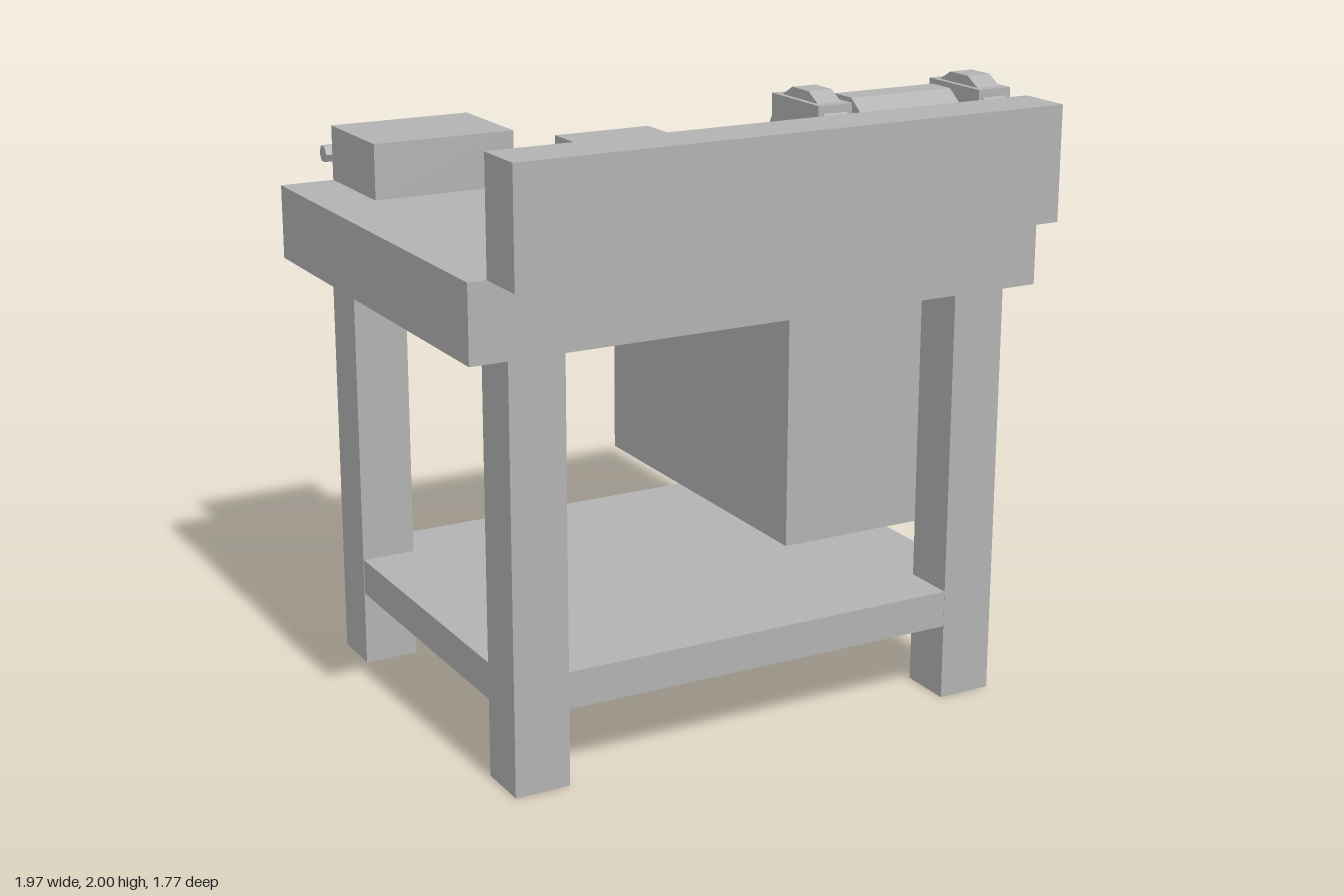
import * as THREE from 'three';

export function createModel() {
  const model = new THREE.Group();
  model.name = 'workbench';
  const grey = new THREE.MeshStandardMaterial({ color: 0xb2b2b2 });
  grey.name = 'plain grey';
  grey.flatShading = true;

  const add = (name, geometry, parent = model) => {
    const mesh = new THREE.Mesh(geometry, grey);
    mesh.name = name;
    parent.add(mesh);
    return mesh;
  };
  // Box given by its limits on each axis
  const box = (name, [x0, x1], [y0, y1], [z0, z1], parent) => {
    const g = new THREE.BoxGeometry(x1 - x0, y1 - y0, z1 - z0);
    g.translate((x0 + x1) / 2, (y0 + y1) / 2, (z0 + z1) / 2);
    return add(name, g, parent);
  };
  // Faceted bar along x; turn rolls it about its own axis
  const bar = (name, [x0, x1], y, z, radius, sides, turn, parent) => {
    const g = new THREE.CylinderGeometry(radius, radius, x1 - x0, sides);
    g.rotateZ(Math.PI / 2).rotateX(turn).translate((x0 + x1) / 2, y, z);
    return add(name, g, parent);
  };
  const group = (name) => {
    const g = new THREE.Group();
    g.name = name;
    model.add(g);
    return g;
  };

  // Bench
  box('tabletop', [-0.983, 0.983], [1.36, 1.605], [-0.77, 0.705]);
  for (const x of [[-0.862, -0.68], [0.68, 0.862]])
    for (const z of [[-0.645, -0.465], [0.525, 0.705]]) box('leg', x, [0, 1.36], z);
  box('shelf', [-0.86, 0.86], [0.25, 0.37], [-0.644, 0.704]);

  // Drawer cabinet, opening towards the back
  const cabinet = group('drawerCabinet');
  box('cabinetBody', [0.185, 0.795], [0.557, 1.33], [-0.645, 0.525], cabinet);
  for (const y of [0.722, 0.969, 1.217]) {
    box('drawerFront', [0.215, 0.765], [y - 0.104, y + 0.104], [-0.659, -0.645], cabinet);
    box('drawerHandle', [0.4, 0.58], [y - 0.018, y + 0.018], [-0.695, -0.659], cabinet);
  }

  // Tool board with hanging tools
  const board = group('toolBoard');
  box('backboard', [-0.923, 0.923], [1.605, 1.97], [0.705, 0.886], board);
  for (const [x, bottom] of [[-0.682, 1.635], [-0.312, 1.69], [0.118, 1.605]])
    box('hangingTool', [x - 0.06, x + 0.06], [bottom, 1.92], [0.645, 0.705], board);

  // Bench grinder
  const grinder = group('grinder');
  box('grinderBase', [0.37, 0.86], [1.605, 1.678], [0.275, 0.58], grinder);
  bar('motor', [0.43, 0.8], 1.823, 0.423, 0.152, 10, 0, grinder);
  for (const x of [0.316, 0.909]) {
    bar('grindingWheel', [x - 0.042, x + 0.042], 1.823, 0.423, 0.184, 12, Math.PI / 12, grinder);
    box('wheelGuard', [x - 0.06, x + 0.06], [1.75, 1.97], [0.287, 0.558], grinder);
  }

  // Stepped block
  box('blockBase', [-0.185, 0.245], [1.605, 1.678], [-0.465, -0.098]);
  box('blockTop', [-0.145, 0.205], [1.678, 1.752], [-0.43, -0.135]);

  // Vise
  const vise = group('vise');
  box('viseBody', [-0.8, -0.31], [1.605, 1.788], [-0.77, -0.403], vise);
  box('viseJaw', [-0.74, -0.372], [1.605, 1.752], [-0.832, -0.77], vise);
  bar('viseHandle', [-0.8, -0.31], 1.678, -0.857, 0.03, 6, 0, vise);

  return model;
}
